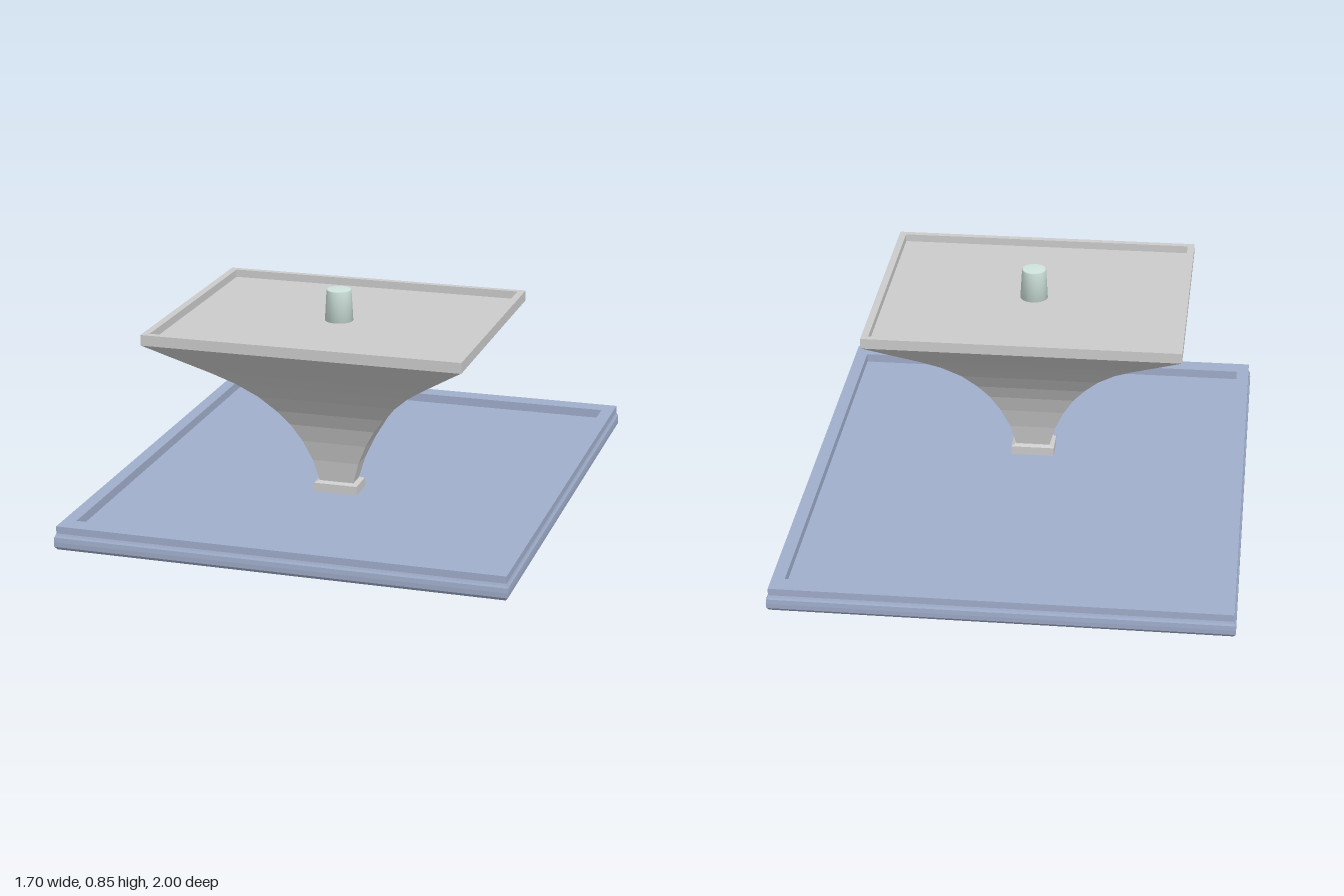
import * as THREE from 'three';

const CORNERS = [[1, 1], [1, -1], [-1, -1], [-1, 1]];

// Closed solid through rectangular sections [y, halfWidth, halfDepth]
function rectLoft(name, sections, color) {
  const pos = [], idx = [];
  for (const [y, hx, hz] of sections)
    for (const [sx, sz] of CORNERS) pos.push(sx * hx, y, sz * hz);
  for (let i = 0; i < sections.length - 1; i++)
    for (let k = 0; k < 4; k++) {
      const a = i * 4 + k, b = i * 4 + (k + 1) % 4;
      idx.push(a, b, b + 4, a, b + 4, a + 4);
    }
  const t = (sections.length - 1) * 4;
  idx.push(0, 2, 1, 0, 3, 2, t, t + 1, t + 2, t, t + 2, t + 3);
  const indexed = new THREE.BufferGeometry();
  indexed.setAttribute('position', new THREE.Float32BufferAttribute(pos, 3));
  indexed.setIndex(idx);
  const geo = indexed.toNonIndexed();
  geo.computeVertexNormals();
  const mesh = new THREE.Mesh(geo, new THREE.MeshStandardMaterial({ color, flatShading: true }));
  mesh.name = name;
  return mesh;
}

export function createModel() {
  const model = new THREE.Group();
  model.name = 'pedestalTray';

  // Base slab: moulded edge, raised rim and sunken floor
  const edge = [[0, 0.01], [0.012, 0.001], [0.03, 0], [0.048, 0.001], [0.055, 0.005], [0.063, 0.008], [0.09, 0.008]];
  const base = edge.map(([y, inset]) => [y, 0.85 - inset, 1 - inset]);
  base.push([0.09, 0.793, 0.918], [0.055, 0.793, 0.918]);
  model.add(rectLoft('base', base, 0xa0aecb));

  // Everything above the base stands towards the front
  const stand = new THREE.Group();
  stand.name = 'stand';
  stand.position.z = 0.22;
  model.add(stand);

  // Small foot plate
  stand.add(rectLoft('foot', [[0.05, 0.085, 0.055], [0.09, 0.085, 0.055], [0.097, 0.07, 0.042]], 0xcccccc));

  // Flared pedestal
  stand.add(rectLoft('pedestal', [
    [0.09, 0.065, 0.037], [0.18, 0.09, 0.05], [0.26, 0.125, 0.07], [0.33, 0.165, 0.095],
    [0.39, 0.21, 0.127], [0.455, 0.267, 0.172], [0.52, 0.335, 0.237], [0.575, 0.405, 0.305],
    [0.65, 0.505, 0.407], [0.72, 0.6, 0.5],
  ], 0xcccccc));

  // Tray with a thin raised rim
  stand.add(rectLoft('tray', [
    [0.72, 0.602, 0.5], [0.76, 0.602, 0.5], [0.76, 0.575, 0.475], [0.73, 0.575, 0.475],
  ], 0xcccccc));

  // Tapered peg with softened top edge
  const profile = [[0, 0.725], [0.054, 0.725], [0.047, 0.846], [0.044, 0.85], [0, 0.85]];
  const pegGeo = new THREE.LatheGeometry(profile.map(([r, y]) => new THREE.Vector2(r, y)), 32);
  const peg = new THREE.Mesh(pegGeo, new THREE.MeshStandardMaterial({ color: 0xd0e4dd }));
  peg.name = 'peg';
  stand.add(peg);

  return model;
}
